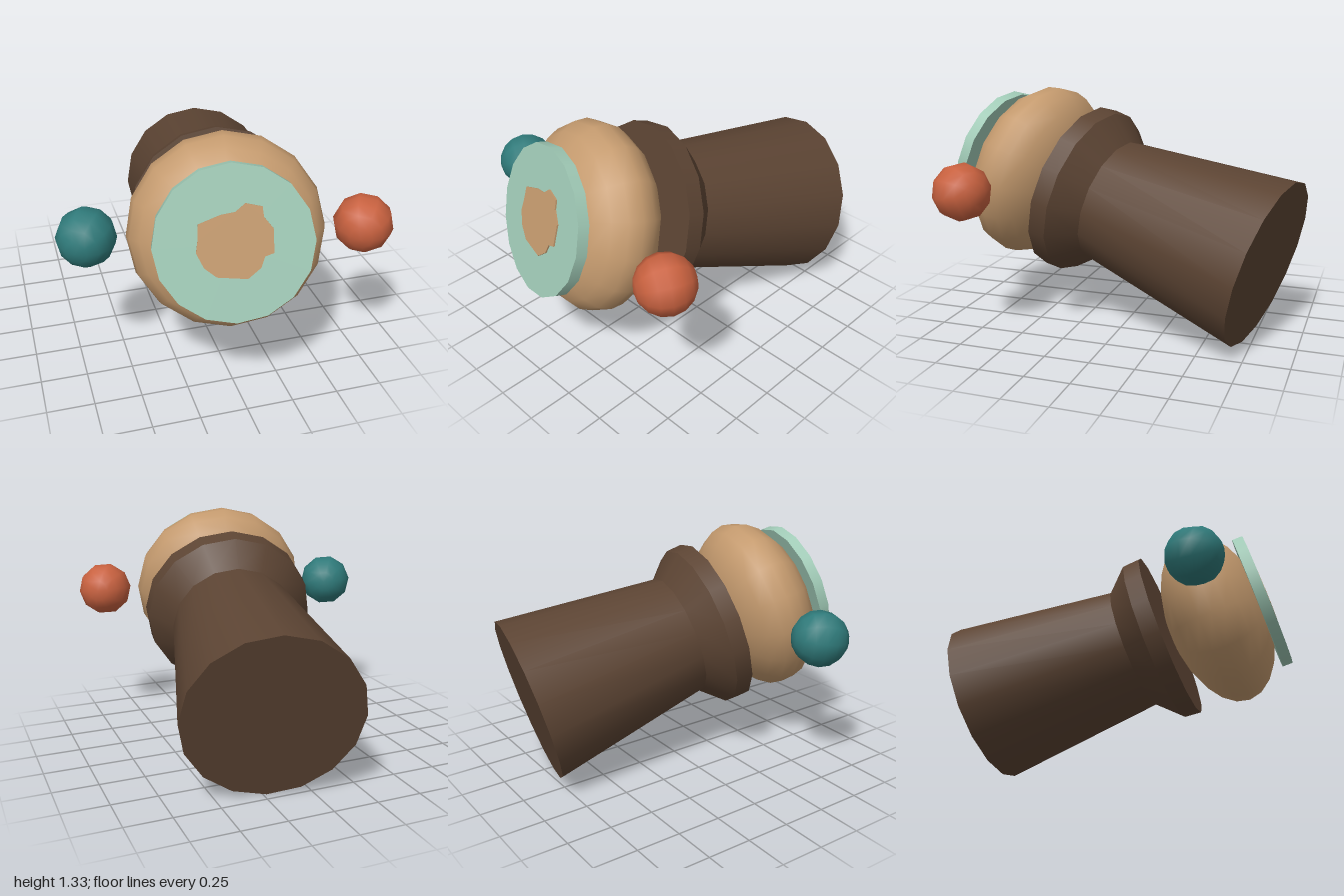
import * as THREE from 'three';

const flat = (name, color) => {
  const m = new THREE.MeshStandardMaterial({ color });
  m.name = name;
  return m;
};

export function createModel() {
  const brown = flat('dark brown', 0x5c4433);
  const tan = flat('tan', 0xc49a6e);
  const mint = flat('mint', 0xa0cab6);
  const teal = flat('teal', 0x2f7a7a);
  const orange = flat('orange', 0xc8613f);

  const model = new THREE.Group();
  model.name = 'model';
  const add = (name, geometry, material, parent = model) => {
    const mesh = new THREE.Mesh(geometry, material);
    mesh.name = name;
    parent.add(mesh);
    return mesh;
  };

  // Common facing direction of the tilted parts
  const normal = new THREE.Vector3(-0.2, 0.265, 0.943).normalize();
  const tilt = new THREE.Quaternion().setFromUnitVectors(new THREE.Vector3(0, 0, 1), normal);
  const right = new THREE.Vector3(1, 0, 0).applyQuaternion(tilt);
  const up = new THREE.Vector3(0, 1, 0).applyQuaternion(tilt);

  // Body: stacked frustums on a slightly slanted axis, from back to front
  const back = new THREE.Vector3(0.245, 0.46, -0.825);
  const front = new THREE.Vector3(0.055, 0.765, 0.307);
  const slant = new THREE.Matrix4()
    .makeBasis(right, up, front.clone().sub(back))
    .setPosition(back);
  const body = new THREE.Group();
  body.name = 'body';
  model.add(body);
  [
    ['trunk', 0, 0.806, 0.475, 0.357, false],
    ['flare', 0.806, 0.918, 0.357, 0.482, true],
    ['rim', 0.918, 1, 0.482, 0.488, false],
  ].forEach(([name, t0, t1, r0, r1, open]) => {
    const g = new THREE.CylinderGeometry(r1, r0, t1 - t0, 16, 1, open);
    g.rotateX(Math.PI / 2).translate(0, 0, (t0 + t1) / 2).applyMatrix4(slant);
    add(name, g, brown, body);
  });

  // Squashed head with its pole facing forward
  const head = add('head', new THREE.SphereGeometry(1, 16, 12).rotateX(Math.PI / 2), tan);
  head.scale.set(0.512, 0.512, 0.29);
  head.quaternion.copy(tilt);
  head.position.set(0, 0.835, 0.585);

  // Face plate, origin at the centre of its front surface
  const face = new THREE.Group();
  face.name = 'face';
  face.quaternion.copy(tilt);
  face.position.set(-0.05, 0.914, 0.872);
  model.add(face);
  const disc = new THREE.CylinderGeometry(0.396, 0.396, 0.06, 16).rotateX(Math.PI / 2);
  add('facePlate', disc.translate(0, 0, -0.03), mint, face);

  // Uneven patch in the middle of the plate
  const outline = [
    [-0.17, 0.11], [-0.06, 0.15], [0.01, 0.16], [0.06, 0.2], [0.14, 0.18], [0.145, 0.13],
    [0.19, 0.07], [0.19, -0.05], [0.145, -0.065], [0.125, -0.12], [0.06, -0.172],
    [-0.09, -0.155], [-0.15, -0.105], [-0.185, -0.03], [-0.175, 0.03],
  ].map(([x, y]) => new THREE.Vector2(x, y));
  const patch = new THREE.ExtrudeGeometry(new THREE.Shape(outline), {
    depth: 0.008,
    bevelEnabled: false,
  });
  add('patch', patch, tan, face);

  // Floating side balls
  const poleTurn = new THREE.Quaternion().setFromUnitVectors(
    new THREE.Vector3(0, 1, 0),
    new THREE.Vector3(-0.5, -0.1, 0.86).normalize()
  );
  [
    ['rightBall', teal, -0.7, 0.836, 0.467],
    ['leftBall', orange, 0.702, 0.844, 0.72],
  ].forEach(([name, material, x, y, z]) => {
    const ball = add(name, new THREE.SphereGeometry(0.156, 10, 8), material);
    ball.quaternion.copy(poleTurn);
    ball.position.set(x, y, z);
  });

  return model;
}
